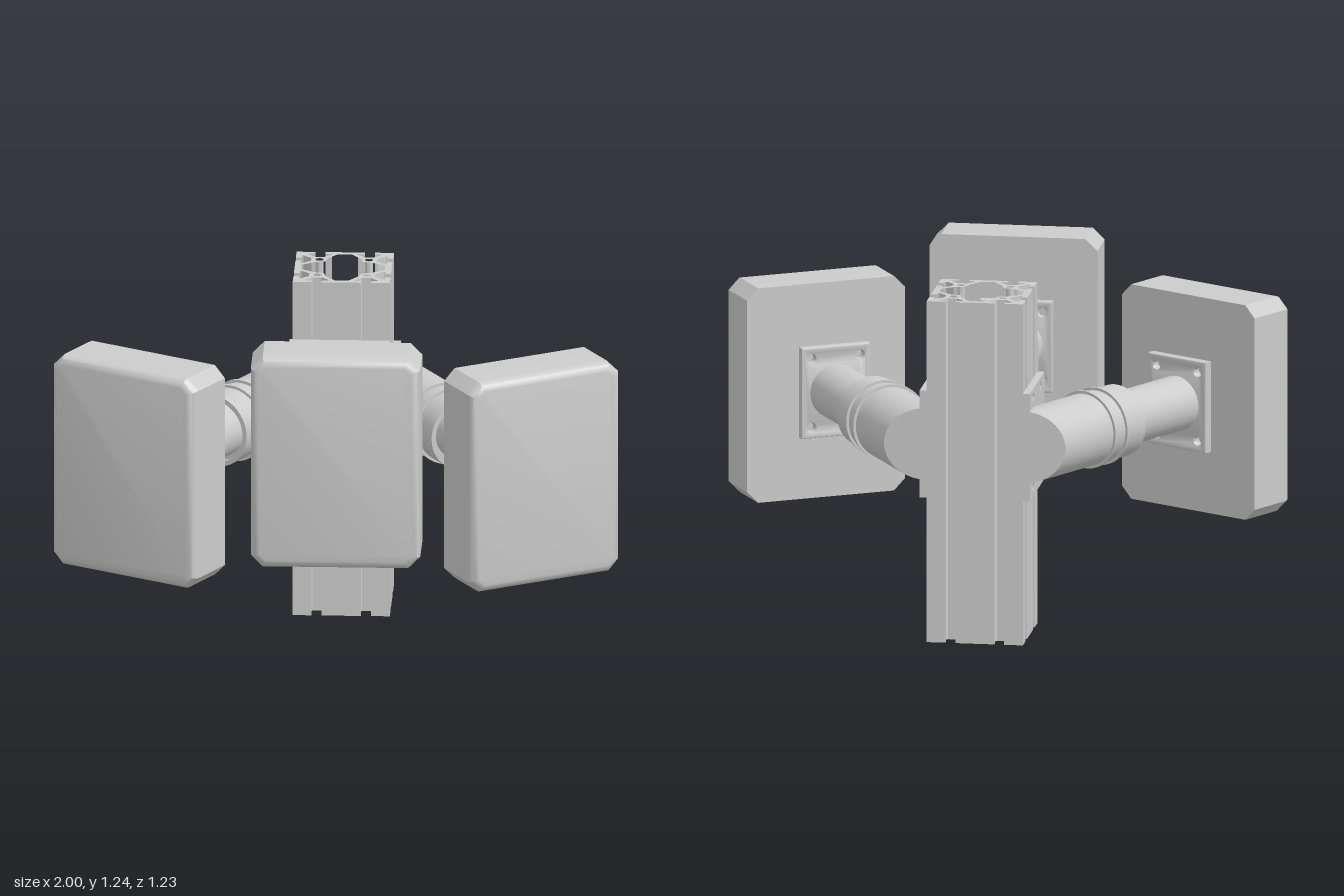
import * as THREE from 'three';
import { toCreasedNormals } from 'three/addons/utils/BufferGeometryUtils.js';

const material = new THREE.MeshStandardMaterial({ color: 0xcccccc });

function add(parent, name, geometry, x = 0, y = 0, z = 0) {
  const mesh = new THREE.Mesh(toCreasedNormals(geometry, 0.5), material);
  mesh.name = name;
  mesh.position.set(x, y, z);
  parent.add(mesh);
  return mesh;
}

// Closed solid through convex cross-sections with equal point counts
function loft(sections) {
  const n = sections[0].length, last = (sections.length - 1) * n, index = [];
  for (let i = 0; i < sections.length - 1; i++) {
    for (let j = 0; j < n; j++) {
      const a = i * n + j, b = i * n + (j + 1) % n;
      index.push(a, b, b + n, a, b + n, a + n);
    }
  }
  for (let j = 1; j < n - 1; j++) index.push(0, j + 1, j, last, last + j, last + j + 1);
  const g = new THREE.BufferGeometry();
  g.setAttribute('position', new THREE.Float32BufferAttribute(sections.flat(2), 3));
  g.setIndex(index);
  return g;
}

const rod = (r, length) => new THREE.CylinderGeometry(r, r, length, 48).rotateX(Math.PI / 2);

function circle(x, y, r) {
  return new THREE.Path().absarc(x, y, r, 0, Math.PI * 2, true);
}

// Rectangular plate facing z with four holes at (+-hx, +-hy)
function plate(w, h, t, hx, hy, bevel = 0) {
  const x = w / 2 - bevel, y = h / 2 - bevel;
  const shape = new THREE.Shape([[-x, -y], [x, -y], [x, y], [-x, y]].map(p => new THREE.Vector2(...p)));
  for (const sx of [-1, 1]) for (const sy of [-1, 1]) shape.holes.push(circle(sx * hx, sy * hy, 0.016 + bevel));
  return new THREE.ExtrudeGeometry(shape, {
    depth: t - 2 * bevel, bevelEnabled: bevel > 0, bevelSize: bevel, bevelThickness: bevel,
    bevelSegments: 2, curveSegments: 12,
  }).translate(0, 0, -t / 2 + bevel);
}

// Square post with two T-slots per side, hollow core and four bored bosses
function postGeometry() {
  const h = 0.172, s = 0.0875;
  const half = [[0.018, 0], [0.018, 0.02], [0.042, 0.02], [0.042, 0.026], [0.016, 0.055]];
  const slot = [...half.map(([x, d]) => [-x, d]), ...[...half].reverse()];
  const side = [[-h, h], ...[-s, s].flatMap(c => slot.map(([x, d]) => [c + x, h - d]))];
  const core = [[-0.066, 0.066], [-0.058, 0.1], [-0.025, 0.148], [0.025, 0.148], [0.058, 0.1]];
  const ring = pts => [0, 1, 2, 3].flatMap(k =>
    pts.map(([x, y]) => new THREE.Vector2(x, y).rotateAround(new THREE.Vector2(), -k * Math.PI / 2)));
  const shape = new THREE.Shape(ring(side));
  shape.holes.push(new THREE.Path(ring(core)));
  for (const x of [-s, s]) for (const y of [-s, s]) shape.holes.push(circle(x, y, 0.014));
  return new THREE.ExtrudeGeometry(shape, { depth: 1.24, bevelEnabled: false, curveSegments: 12 })
    .rotateX(-Math.PI / 2);
}

// Panel with chamfered corners and a rounded front edge, back at z = 0
function panelGeometry() {
  const depth = 0.211, r = 0.038;
  const section = (inset, z) => {
    const x = 0.3 - inset, y = 0.39 - inset, c = 0.042 - 0.586 * inset;
    return [[x, c - y], [x, y - c], [x - c, y], [c - x, y], [-x, y - c], [-x, c - y], [c - x, -y], [x - c, -y]]
      .map(p => [...p, z]);
  };
  const sections = [section(0, 0)];
  for (let i = 0; i <= 8; i++) {
    const a = i / 8 * Math.PI / 2;
    sections.push(section(r * (1 - Math.cos(a)), depth - r + r * Math.sin(a)));
  }
  return loft(sections);
}

// Wide sleeve along z; on the side arms its back is cut by the post's side and rear planes
function sleeveGeometry(side) {
  const R = 0.13, end = -0.03;
  const start = a => side === 0 ? -0.275
    : Math.max((-0.245 - 0.866 * a * side) / 0.5, (-0.46 + 0.5 * a * side) / 0.866);
  const levels = [0.0178 * side];
  for (let i = 0; i <= 32; i++) if (side || i !== 16) levels.push(-R * Math.cos(i / 32 * Math.PI));
  levels.sort((a, b) => a - b);
  return loft(levels.map(a => {
    const y = Math.sqrt(Math.max(R * R - a * a, 1e-8)), u = start(a);
    return [[a, -y, u], [a, y, u], [a, y, end], [a, -y, end]];
  }));
}

// Arm with its panel; side is -1, 0 or 1
function createArm(side) {
  const arm = new THREE.Group();
  arm.name = ['rightArm', 'centerArm', 'leftArm'][side + 1];
  add(arm, 'sleeve', sleeveGeometry(side));
  const lip = [[0.113, -0.03], [0.13, -0.03], [0.13, 0], [0.113, 0], [0.113, -0.03]];
  add(arm, 'sleeveLip', new THREE.LatheGeometry(lip.map(p => new THREE.Vector2(...p)), 48).rotateX(Math.PI / 2));
  for (const z of [-0.11, -0.178]) add(arm, 'sleeveRing', rod(0.14, 0.012), 0, 0, z);
  add(arm, 'innerTube', rod(0.098, 0.39), 0, 0, 0.145);
  add(arm, 'mountPlate', plate(0.26, 0.33, 0.036, 0.092, 0.125, 0.006), 0, 0, 0.356);
  add(arm, 'panel', panelGeometry(), side ? side * 0.024 : 0.015, 0, 0.374);
  arm.position.set(side * 0.44, side ? 0.72 : 0.85, side ? -0.155 : 0.03);
  arm.rotation.y = side * Math.PI / 6;
  return arm;
}

export function createModel() {
  const model = new THREE.Group();
  model.name = 'threePanelStand';
  const postZ = -0.443;
  add(model, 'post', postGeometry(), 0, 0, postZ);
  for (const side of [-1, 0, 1]) model.add(createArm(side));

  // Flanges bolted to the post
  add(model, 'centerFlange', plate(0.344, 0.352, 0.025, 0.0875, 0.145), 0, 0.85, -0.2585);
  for (const side of [-1, 1]) {
    const flange = add(model, 'sideFlange', plate(0.344, 0.39, 0.025, 0.0875, 0.163), side * 0.1845, 0.72, postZ);
    flange.rotation.y = side * Math.PI / 2;
  }
  return model;
}
